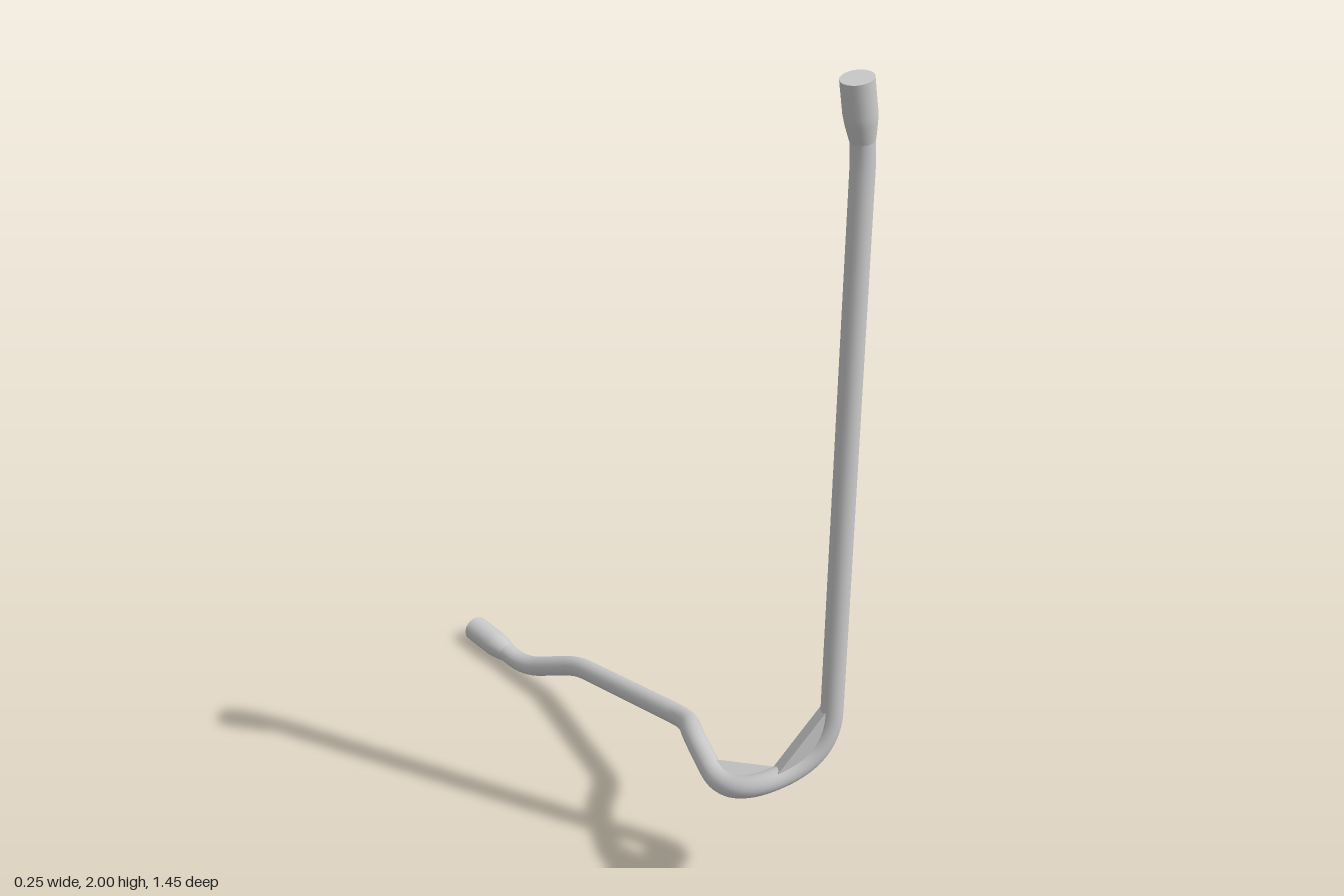
import * as THREE from 'three';

const V = (x, y, z) => new THREE.Vector3(x, y, z);
const R = 0.026;

export function createModel() {
  const group = new THREE.Group();
  const mat = new THREE.MeshStandardMaterial({ color: 0xcccccc, side: THREE.DoubleSide });
  const add = (geo, name) => {
    const mesh = new THREE.Mesh(geo, mat);
    mesh.name = name;
    group.add(mesh);
    return mesh;
  };

  // Pipe route: corner points with the distance trimmed for each rounded bend
  const top = V(0.063, 1.993, 0.69), tail = V(0.041, 0.039, -0.728);
  const corners = [
    [V(0.094, 1.84, 0.686), 0.04],
    [V(0.094, 0.4, 0.685), 0.125],
    [V(-0.135, 0.325, 0.6), 0.125],
    [V(-0.03, 0.315, 0.345), 0.06],
    [V(0.045, 0.262, 0.23), 0.06],
    [V(0.082, 0.13, -0.29), 0.05],
    [V(0.042, 0.042, -0.48), 0.06],
  ];
  const stops = [top, ...corners.map(c => c[0]), tail];
  const toward = (a, b, d) => a.clone().add(b.clone().sub(a).setLength(d));
  const path = new THREE.CurvePath();
  const bends = [];
  let last = top;
  corners.forEach(([p, trim], i) => {
    const start = toward(p, stops[i], trim), end = toward(p, stops[i + 2], trim);
    const bend = new THREE.QuadraticBezierCurve3(start, p, end);
    if (last.distanceTo(start) > 0.003) path.add(new THREE.LineCurve3(last, start));
    path.add(bend);
    bends.push(bend);
    last = end;
  });
  path.add(new THREE.LineCurve3(last, tail));
  path.arcLengthDivisions = 600;
  add(new THREE.TubeGeometry(path, 300, R, 20, false), 'pipe');

  // Flared end sleeves, closed at the outer face
  const sleeve = (end, from, length, r, name) => {
    const dir = end.clone().sub(from).normalize();
    const profile = [[R, 0], [R + 0.002, 0.01], [r - 0.002, 0.04], [r, 0.06], [r, length], [r, length], [0, length]];
    const geo = new THREE.LatheGeometry(profile.map(p => new THREE.Vector2(...p)), 24);
    const mesh = add(geo, name);
    mesh.quaternion.setFromUnitVectors(V(0, 1, 0), dir);
    mesh.position.copy(end).addScaledVector(dir, -length);
  };
  sleeve(top, corners[0][0], 0.135, 0.035, 'topSleeve');
  sleeve(tail, corners[6][0], 0.16, 0.035, 'rearSleeve');

  // Webs filling the inside of the two tight bends, up to a straight chord
  const web = (bend, name) => {
    const n = 14, pos = [], idx = [];
    const mid = bend.v0.clone().lerp(bend.v2, 0.5);
    const inward = mid.clone().sub(bend.v1).setLength(0.019);
    const normal = bend.v0.clone().sub(bend.v1).cross(bend.v2.clone().sub(bend.v1)).setLength(0.015);
    for (let i = 0; i <= n; i++) {
      const outer = bend.getPoint(i / n);
      const inner = bend.v0.clone().lerp(bend.v2, i / n).add(inward);
      for (const [p, s] of [[outer, 1], [inner, 1], [inner, -1], [outer, -1]])
        pos.push(...p.clone().addScaledVector(normal, s).toArray());
      if (i < n) for (let k = 0; k < 3; k++) {
        const a = i * 4 + k;
        idx.push(a, a + 1, a + 4, a + 1, a + 5, a + 4);
      }
    }
    const geo = new THREE.BufferGeometry();
    geo.setAttribute('position', new THREE.Float32BufferAttribute(pos, 3));
    geo.setIndex(idx);
    const flat = geo.toNonIndexed();
    flat.computeVertexNormals();
    add(flat, name);
  };
  web(bends[1], 'lowerBendWeb');
  web(bends[2], 'sideBendWeb');

  return group;
}
